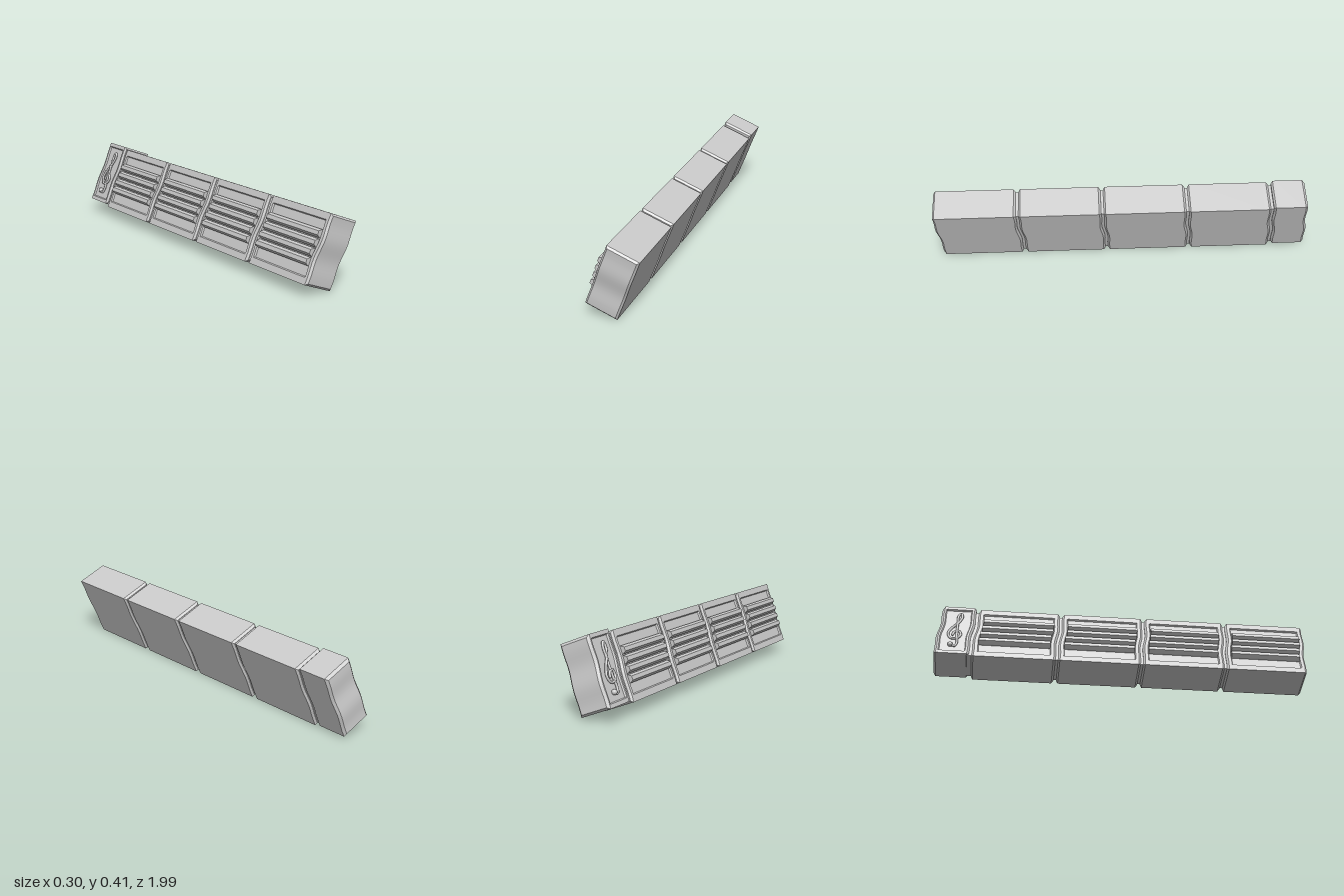
import * as THREE from 'three';
import { toCreasedNormals } from 'three/addons/utils/BufferGeometryUtils.js';

const W = 0.174, L = 0.356, DEPTH = 0.008;
const mat = new THREE.MeshStandardMaterial({ color: 0xcccccc });

// Forward shift of the wavy block ends at height v
const wave = (v) => {
  const t = THREE.MathUtils.clamp(v / L, -0.5, 0.5);
  return 0.0135 * Math.sin(Math.PI * t) + 0.003 * Math.sin(4 * Math.PI * t);
};

function add(parent, name, geometry) {
  const mesh = new THREE.Mesh(geometry, mat);
  mesh.name = name;
  parent.add(mesh);
  return mesh;
}

// Block with wavy chamfered ends and a recessed panel in its left-hand face
function blockGeometry(length, front, back, frameV, frameZ) {
  const h = L / 2, b = 0.005, top = h - frameV;
  const inner = 26;
  const ys = [-h, -h + 0.012, -top];
  for (let i = 0; i <= inner; i++) ys.push((top - b) * (2 * i / inner - 1));
  ys.push(top, h - 0.012, h);
  const e = length / 2;
  const zs = [-e, -e + back, -e + frameZ, -e + frameZ + b, e - frameZ - b, e - frameZ, e - front, e];
  const ny = ys.length - 1, nz = zs.length - 1;
  const g = new THREE.BoxGeometry(1, 1, 1, 1, ny, nz);
  const p = g.attributes.position;
  for (let i = 0; i < p.count; i++) {
    const j = Math.round((p.getY(i) + 0.5) * ny), k = Math.round((p.getZ(i) + 0.5) * nz);
    let x = p.getX(i) * W, y = ys[j];
    const inset = k === 0 ? back : k === nz ? front : 0;
    x *= 1 - 2 * inset / W;
    y *= 1 - 2 * inset / L;
    if (x < 0 && j > 2 && j < ny - 2 && k > 2 && k < nz - 2) x += DEPTH;
    p.setXYZ(i, x, y, zs[k] + wave(y));
  }
  return toCreasedNormals(g, 0.45);
}

// Trapezoid rail standing out of the panel
function ridgeGeometry(length) {
  const x0 = -W / 2 + DEPTH, x1 = -W / 2, x2 = -W / 2 - 0.019;
  const s = new THREE.Shape([
    [x0, -0.021], [x0, 0.021], [x1, 0.021], [x2, 0.01], [x2, -0.01], [x1, -0.021],
  ].map(([x, y]) => new THREE.Vector2(x, y)));
  const g = new THREE.ExtrudeGeometry(s, { depth: length, bevelEnabled: false });
  return g.translate(0, 0, -length / 2);
}

export function createModel() {
  const root = new THREE.Group();
  root.name = 'musicBar';
  const bar = new THREE.Group();
  bar.name = 'tiltedBar';
  bar.rotation.z = -0.375;
  bar.position.y = 0.198;
  root.add(bar);

  // Four staff blocks with four rails each
  const len = 0.433, pitch = 0.4475, frameZ = 0.026;
  const block = blockGeometry(len, 0.01, 0.01, 0.034, frameZ);
  const ridge = ridgeGeometry(len - 2 * frameZ - 0.008);
  for (let i = 0; i < 4; i++) {
    const g = new THREE.Group();
    g.name = 'staffBlock' + (i + 1);
    g.position.z = 0.985 - len / 2 - i * pitch;
    bar.add(g);
    add(g, 'blockBody', block);
    for (let k = 0; k < 4; k++) {
      const v = (k - 1.5) * 0.047;
      add(g, 'staffRail', ridge).position.set(0, v + 0.003, wave(v));
    }
  }

  // End block with the clef
  const end = new THREE.Group();
  end.name = 'clefBlock';
  end.position.set(0, 0.012, -0.895);
  bar.add(end);
  add(end, 'clefBody', blockGeometry(0.18, 0.01, 0.012, 0.02, 0.02));

  // Clef: hooked stem, top loop and curl
  const x = -W / 2 + 0.001;
  const path = [
    [-0.012, -0.112], [0.01, -0.122], [0.021, -0.1], [0.014, -0.03], [-0.001, 0.06],
    [0, 0.105], [0.013, 0.128], [0.021, 0.104], [0.006, 0.06], [-0.022, 0.012],
    [-0.031, -0.03], [-0.012, -0.064], [0.02, -0.063], [0.036, -0.037], [0.022, -0.011],
    [-0.002, -0.017], [-0.006, -0.04],
  ].map(([z, v]) => new THREE.Vector3(x, v, z + wave(v)));
  const curve = new THREE.CatmullRomCurve3(path);
  add(end, 'clefStroke', new THREE.TubeGeometry(curve, 120, 0.0065, 8));
  add(end, 'clefTip', new THREE.SphereGeometry(0.006, 10, 8)).position.copy(path[path.length - 1]);
  add(end, 'clefDot', new THREE.SphereGeometry(0.014, 16, 12)).position.copy(path[0]);

  // Inner core closing the gaps between blocks
  add(bar, 'core', new THREE.BoxGeometry(W - 0.026, L - 0.026, 1.8));
  return root;
}
